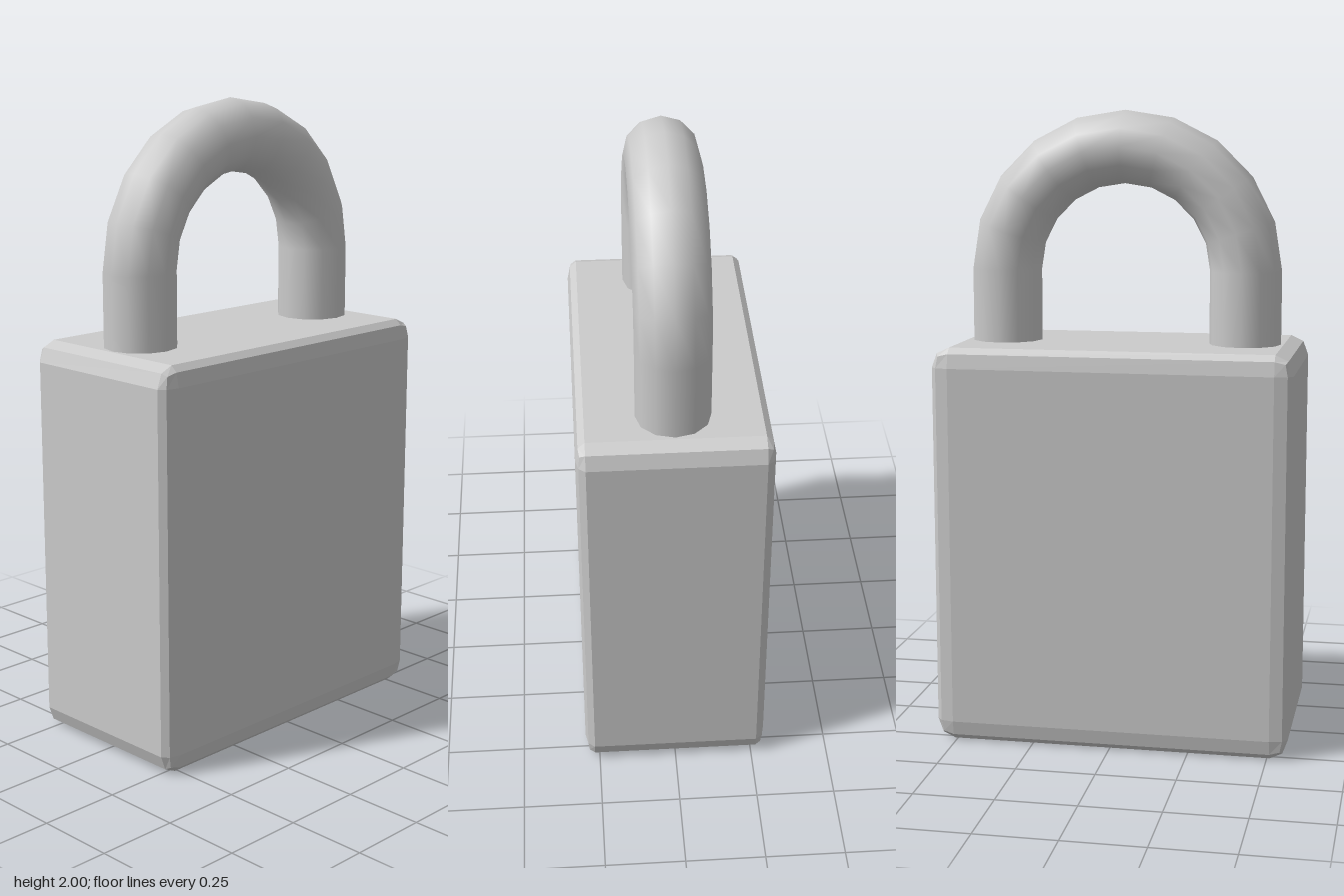
import * as THREE from 'three';
import { RoundedBoxGeometry } from 'three/addons/geometries/RoundedBoxGeometry.js';

const BODY = { width: 1.13, height: 1.27, depth: 0.59 };
const SHACKLE = { radius: 0.386, thickness: 0.114, sides: 12, archY: 1.5 };

export function createModel() {
  const model = new THREE.Group();
  model.name = 'padlock';
  const flat = new THREE.MeshStandardMaterial({ color: 0xcccccc, flatShading: true });
  const smooth = new THREE.MeshStandardMaterial({ color: 0xcccccc });

  const add = (parent, name, geometry, material, x, y) => {
    const mesh = new THREE.Mesh(geometry, material);
    mesh.name = name;
    mesh.position.set(x, y, 0);
    parent.add(mesh);
  };

  // Body: a bevelled cube stretched to size, so the bevel scales with each side
  const body = new RoundedBoxGeometry(2, 2, 2, 1, 0.1);
  body.scale(BODY.width / 2, BODY.height / 2, BODY.depth / 2);
  add(model, 'body', body, flat, 0, BODY.height / 2);

  // Shackle: half-ring arch on two straight legs that sink into the body
  const shackle = new THREE.Group();
  shackle.name = 'shackle';
  model.add(shackle);

  const { radius, thickness, sides, archY } = SHACKLE;
  add(shackle, 'shackleArch',
    new THREE.TorusGeometry(radius, thickness, sides, 10, Math.PI), smooth, 0, archY);

  const legBottom = BODY.height - 0.05;
  const legLength = archY - legBottom;
  for (const [name, side] of [['leftShackleLeg', 1], ['rightShackleLeg', -1]]) {
    const leg = new THREE.CylinderGeometry(thickness, thickness, legLength, sides, 1, true);
    add(shackle, name, leg, smooth, side * radius, legBottom + legLength / 2);
  }

  return model;
}
